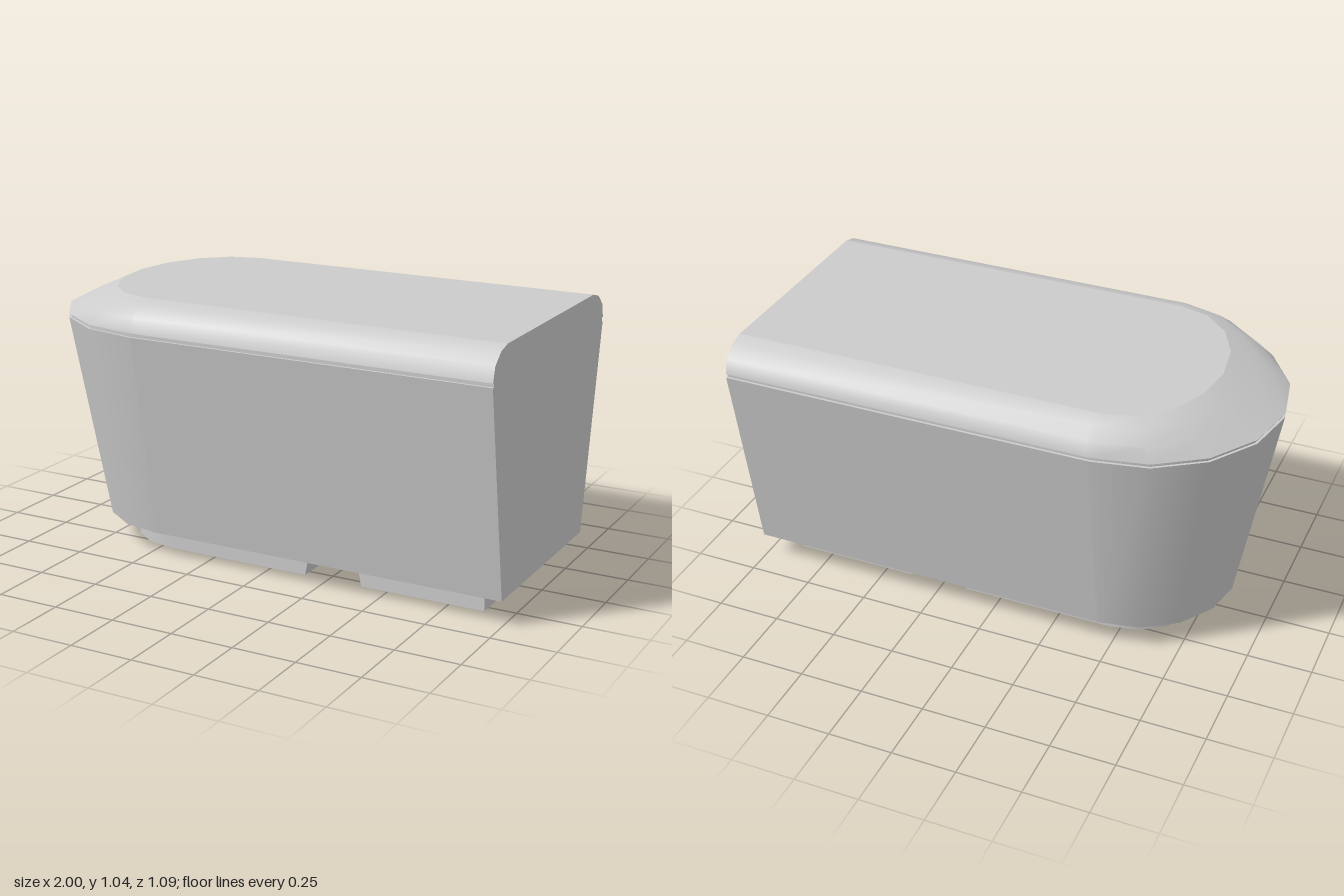
import * as THREE from 'three';
import { mergeGeometries, toCreasedNormals } from 'three/addons/utils/BufferGeometryUtils.js';

const NOSE_X = -0.455; // where the straight sides meet the rounded nose
const END_X = 1;
const lerp = THREE.MathUtils.lerp;

// U-shaped outline: straight side, faceted round nose, straight side
function ring(rNose, rSide, yNose, ySide) {
  const pts = [[END_X, ySide, rSide], [NOSE_X + 0.015, ySide, rSide]];
  for (let i = 0; i <= 8; i++) {
    const a = Math.PI / 2 - (i * Math.PI) / 8;
    const w = Math.sin(a) ** 2;
    pts.push([NOSE_X - rNose * Math.cos(a), lerp(yNose, ySide, w), rSide * Math.sin(a)]);
  }
  pts.push([NOSE_X + 0.015, ySide, -rSide], [END_X, ySide, -rSide]);
  return pts;
}

const flatRing = (r, y) => ring(r, r, y, y);

function geometryFrom(triangles, crease) {
  const g = new THREE.BufferGeometry();
  g.setAttribute('position', new THREE.Float32BufferAttribute(triangles.flat(), 3));
  return toCreasedNormals(g, crease);
}

// Closed solid through a stack of rings, bottom to top
function loft(rings) {
  const n = rings[0].length;
  const walls = [];
  const caps = [];
  const top = rings[rings.length - 1];
  const bottom = rings[0];
  for (let i = 0; i < n; i++) {
    const j = (i + 1) % n;
    for (let k = 0; k < rings.length - 1; k++) {
      const lo = rings[k];
      const hi = rings[k + 1];
      walls.push(lo[i], hi[i], lo[j], lo[j], hi[i], hi[j]);
    }
    caps.push([0, top[0][1], 0], top[j], top[i]);
    caps.push([0, bottom[0][1], 0], bottom[i], bottom[j]);
  }
  return mergeGeometries([geometryFrom(walls, 0.7), geometryFrom(caps, 0.1)]);
}

export function createModel() {
  const group = new THREE.Group();
  const material = new THREE.MeshStandardMaterial({ color: 0xcccccc });
  const add = (name, geometry) => {
    const mesh = new THREE.Mesh(geometry, material);
    mesh.name = name;
    group.add(mesh);
    return mesh;
  };

  // Tapered body, widening upward
  add('body', loft([flatRing(0.4, 0.1), flatRing(0.545, 0.918)]));

  // Recessed seam between body and lid
  add('seam', loft([flatRing(0.535, 0.917), flatRing(0.535, 0.936)]));

  // Lid: rounded shoulders along the sides, straight slope at the nose
  const shoulder = [[0.545, 0.934], [0.53, 0.99], [0.482, 1.03], [0.425, 1.045]];
  add('lid', loft(shoulder.map(([r, y], k) =>
    ring(lerp(0.545, 0.305, k / 3), r, lerp(0.934, 1.045, k / 3), y))));

  // Base: straight part with a rounded channel cut across its underside
  const r = 0.29;
  const profile = new THREE.Shape();
  profile.moveTo(NOSE_X, 0);
  profile.lineTo(0.15, 0);
  profile.lineTo(0.16, 0.05);
  profile.quadraticCurveTo(0.165, 0.078, 0.19, 0.078);
  profile.lineTo(0.35, 0.078);
  profile.quadraticCurveTo(0.375, 0.078, 0.38, 0.05);
  profile.lineTo(0.39, 0);
  profile.lineTo(0.89, 0);
  profile.lineTo(0.89, 0.1);
  profile.lineTo(NOSE_X, 0.1);
  const base = new THREE.ExtrudeGeometry(profile, { depth: 2 * r, bevelEnabled: false, curveSegments: 5 });
  base.translate(0, 0, -r);
  add('base', toCreasedNormals(base, 0.6));

  // Faceted half-round front of the base
  const nose = new THREE.CylinderGeometry(r, r, 0.1, 8, 1, false, Math.PI, Math.PI);
  add('baseNose', nose).position.set(NOSE_X, 0.05, 0);

  return group;
}
